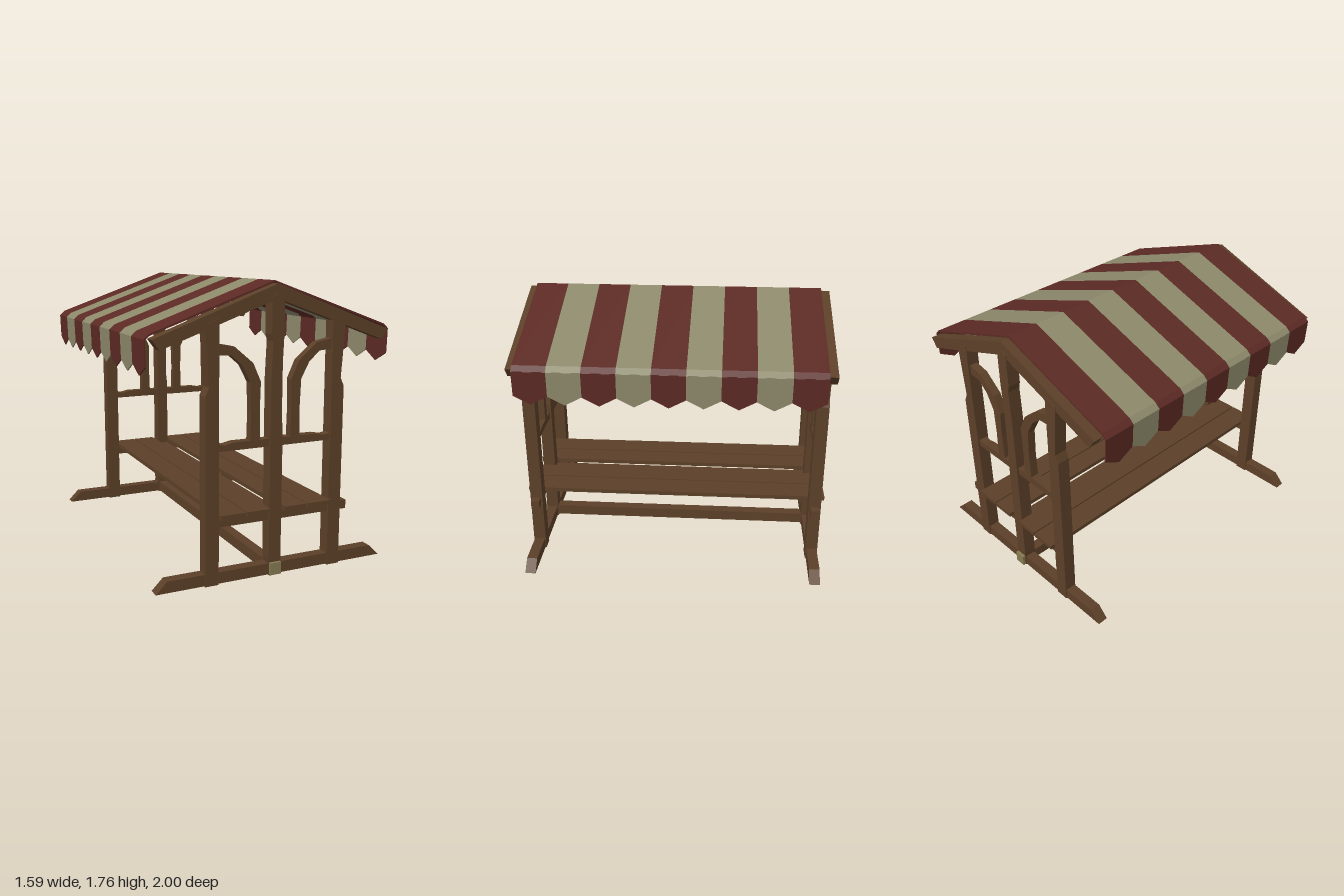
import * as THREE from 'three';

const mat = (color) => new THREE.MeshStandardMaterial({ color, flatShading: true, side: THREE.DoubleSide });

export function createModel() {
  const model = new THREE.Group();
  const wood = mat(0x5c4028), red = mat(0x5c2a24), cream = mat(0x8d896b), endGrain = mat(0x857a50);

  const add = (parent, name, geometry, material = wood) => {
    const mesh = new THREE.Mesh(geometry, material);
    mesh.name = name;
    parent.add(mesh);
    return mesh;
  };
  // Box from its limits
  const box = (parent, name, [x0, x1], [y0, y1], [z0, z1], material) =>
    add(parent, name, new THREE.BoxGeometry(x1 - x0, y1 - y0, z1 - z0), material)
      .position.set((x0 + x1) / 2, (y0 + y1) / 2, (z0 + z1) / 2);
  // Outline in x/y given a depth along z; side -1 mirrors it in x
  const cut = (points, z0, z1, side = 1) => {
    const shape = new THREE.Shape(points.map(([x, y]) => new THREE.Vector2(x * side, y)));
    return new THREE.ExtrudeGeometry(shape, { depth: z1 - z0, bevelEnabled: false }).translate(0, 0, z0);
  };

  const post = [[0.37, 0.005], [0.455, 0.005], [0.455, 1.13], [0.432, 1.18], [0.455, 1.5], [0.455, 1.53], [0.37, 1.56]];
  const centrePost = [[-0.035, 0.005], [0.04, 0.005], [0.04, 0.9], [0.033, 0.97], [0.033, 1.3], [0.04, 1.45],
    [0.04, 1.67], [0, 1.69], [-0.04, 1.67], [-0.04, 1.46], [-0.03, 1.42], [-0.04, 1.2], [-0.04, 0.12]];
  const foot = [[-0.76, 0.01], [0.76, 0.01], [0.69, 0.08], [-0.69, 0.08]];
  const rafter = [[0, 1.745], [0.765, 1.46], [0.72, 1.4], [0, 1.66]];
  const brace = [[0.37, 1.42], [0.27, 1.4], [0.15, 1.3], [0.1, 1.19], [0.105, 1.02], [0.1, 0.84],
    [0.165, 0.84], [0.16, 1.02], [0.167, 1.19], [0.22, 1.29], [0.29, 1.35], [0.37, 1.355]];
  const armRail = [[-0.38, 0.803], [0.38, 0.803], [0.38, 0.848], [0.33, 0.838], [0.27, 0.85],
    [-0.27, 0.85], [-0.33, 0.838], [-0.38, 0.848]];

  // The two end frames
  for (const end of [1, -1]) {
    const frame = new THREE.Group();
    frame.name = end > 0 ? 'frontFrame' : 'backFrame';
    frame.position.z = end * 0.93;
    model.add(frame);
    add(frame, 'foot', cut(foot, -0.034, 0.034));
    add(frame, 'centrePost', cut(centrePost, -0.041, 0.041));
    add(frame, 'armRail', cut(armRail, -0.028, 0.028));
    box(frame, 'seatCrossRail', [-0.41, 0.505], [0.352, 0.406], [-0.027, 0.027]);
    for (const side of [1, -1]) {
      add(frame, 'sidePost', cut(post, -0.04, 0.04, side));
      add(frame, 'rafter', cut(rafter, -0.036, 0.036, side));
      add(frame, 'curvedBrace', cut(brace, -0.026, 0.026, side));
    }
    const z = [0.97 * end, 0.99 * end].sort((a, b) => a - b);
    box(model, 'floorBeamEnd', [-0.036, 0.036], [0.013, 0.088], z, endGrain);
  }

  // Long beams joining the frames
  box(model, 'floorBeam', [-0.034, 0.034], [0.015, 0.086], [-0.972, 0.972]);
  box(model, 'seatBeam', [-0.034, 0.034], [0.34, 0.41], [-0.9, 0.9]);
  box(model, 'ridgeBeam', [-0.034, 0.034], [1.64, 1.715], [-0.9, 0.9]);

  // Seat planks, two on each side of the centre posts
  for (const [x0, x1] of [[-0.368, -0.207], [-0.198, -0.05], [0.05, 0.198], [0.207, 0.368]]) {
    box(model, 'seatPlank', [x0, x1], [0.408, 0.435], [-1, 1]);
  }

  // Striped awning with a pointed valance
  const awning = new THREE.Group();
  awning.name = 'awning';
  model.add(awning);
  const stripes = 9, width = 0.204, start = -0.912;
  const roof = [[0, 1.762], [0.765, 1.488], [0.797, 1.458], [0.787, 1.455], [0.76, 1.478], [0, 1.75]];
  const flap = [[0, 1.46], [width, 1.46], [width, 1.305], [width / 2, 1.25], [0, 1.305]];
  for (let i = 0; i < stripes; i++) {
    const z = start + i * width;
    const material = i % 2 ? cream : red;
    for (const side of [1, -1]) {
      add(awning, 'roofStripe', cut(roof, z, z + width, side), material);
      // Flap outline turned to face sideways, leaning in slightly at the bottom
      const geometry = cut(flap, -0.004, 0.004).rotateY(-Math.PI / 2);
      const p = geometry.attributes.position;
      for (let k = 0; k < p.count; k++) p.setX(k, side * (0.792 + p.getX(k) - (1.46 - p.getY(k)) * 0.03));
      geometry.computeVertexNormals();
      add(awning, 'valanceFlap', geometry, material).position.z = z;
    }
  }
  return model;
}
